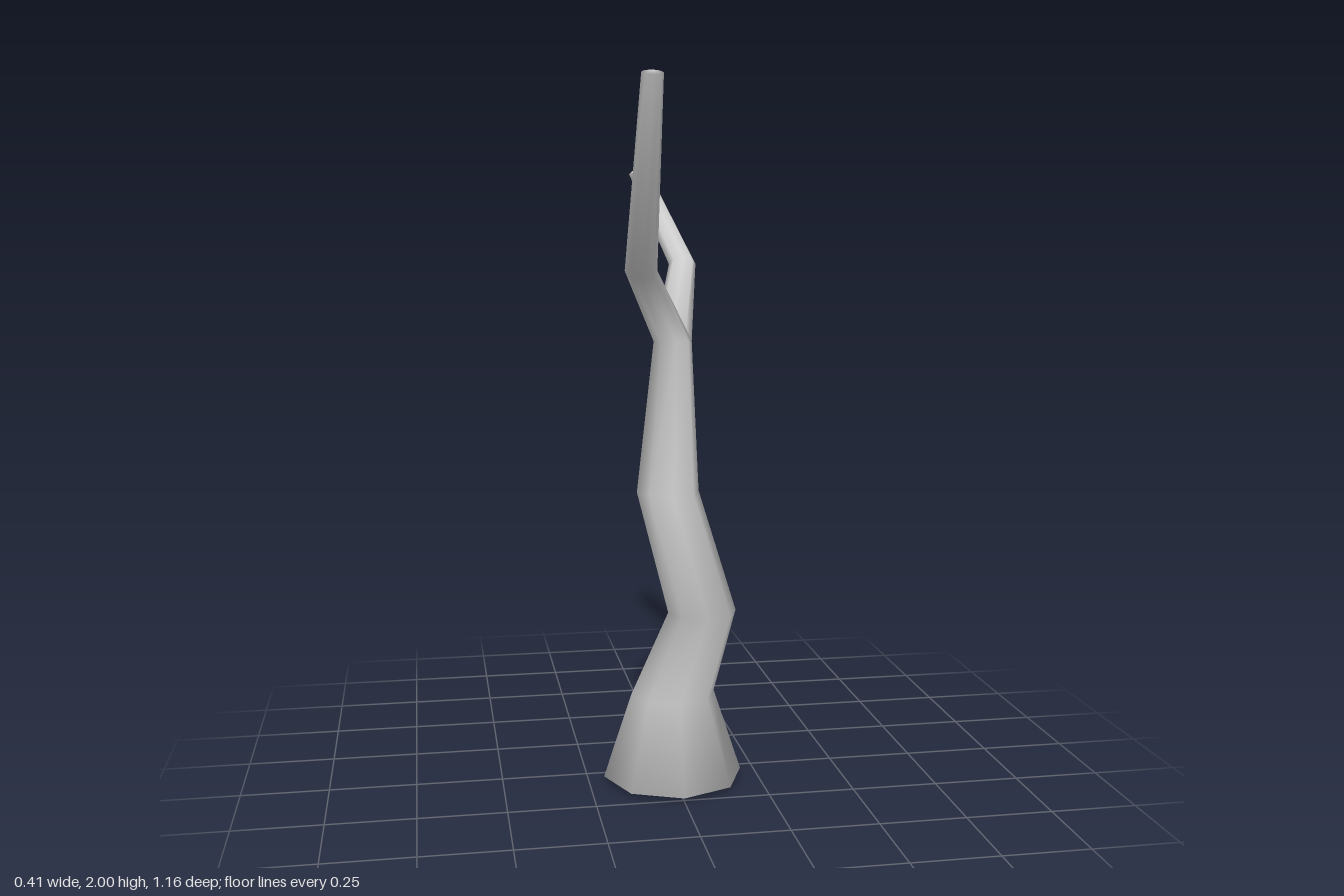
import * as THREE from 'three';
import { mergeVertices } from 'three/addons/utils/BufferGeometryUtils.js';

const SIDES = 8;
const V = (x, y, z) => new THREE.Vector3(x, y, z);

// Ring of points from a rule on the angle
function ringOf(rule) {
  return Array.from({ length: SIDES }, (_, i) => rule((i / SIDES) * Math.PI * 2));
}

// Elliptical ring: `wide` along x (signed by side), `deep` across it, facing `dir`
function ellipse(center, dir, wide, deep, side = 1) {
  const u = V(side, 0, 0);
  const v = dir.clone().cross(u).normalize();
  return ringOf(a => center.clone()
    .addScaledVector(u, wide * Math.cos(a))
    .addScaledVector(v, deep * Math.sin(a)));
}

// Skin the rings and close the ends that have an apex; returns a triangle soup
function skin(rings, startApex, endApex) {
  const out = [];
  const tri = (...pts) => pts.forEach(p => out.push(p.x, p.y, p.z));
  const last = rings[rings.length - 1];
  for (let i = 0; i < SIDES; i++) {
    const j = (i + 1) % SIDES;
    for (let r = 0; r + 1 < rings.length; r++) {
      const a = rings[r], b = rings[r + 1];
      tri(a[i], a[j], b[j]);
      tri(a[i], b[j], b[i]);
    }
    if (startApex) tri(startApex, rings[0][j], rings[0][i]);
    if (endApex) tri(endApex, last[i], last[j]);
  }
  return out;
}

// Fork where the trunk splits into two branches
const FORK = V(0, 1.295, 0.06), FORK_R = 0.055, FORK_RISE = 0.045;

// Branch: starts on half the trunk's top ring plus the ridge shared by both branches
function branch(side, knee, tip, kneeSize, tipSize) {
  const start = ringOf(a => {
    const s = Math.sin(a), x = side * FORK_R * Math.cos(a);
    return s >= -1e-6
      ? V(x, FORK.y + FORK_RISE * s, FORK.z)
      : V(x, FORK.y, FORK.z - side * FORK_R * s);
  });
  const d1 = knee.clone().sub(V(0, 1.31, 0.06)).normalize();
  const d2 = tip.clone().sub(knee).normalize();
  return skin([
    start,
    ellipse(knee, d1.clone().add(d2).normalize(), ...kneeSize, side),
    ellipse(tip, d2, ...tipSize, side),
  ], null, tip.clone().addScaledVector(d2, 0.006));
}

export function createModel() {
  const group = new THREE.Group();
  group.name = 'bareTree';

  // Trunk: x, y, z, radius of each level
  const trunk = skin([
    [0, 0.012, 0.06, 0.205],
    [0, 0.26, 0.062, 0.123],
    [0.067, 0.53, 0.165, 0.098],
    [-0.04, 0.89, 0.212, 0.087],
    [FORK.x, FORK.y, FORK.z, FORK_R],
  ].map(([x, y, z, r]) => ellipse(V(x, y, z), V(0, 1, 0), r, r)), V(0, 0, 0.06), null);

  const parts = {
    trunk,
    frontBranch: branch(1, V(-0.137, 1.505, 0.367), V(-0.137, 1.99, 0.563), [0.043, 0.034], [0.028, 0.02]),
    backBranch: branch(-1, V(0.1, 1.5, -0.345), V(0, 1.78, -0.565), [0.042, 0.029], [0.034, 0.023]),
  };

  // Weld all parts so the shading runs smoothly across the fork
  const soup = new THREE.BufferGeometry();
  soup.setAttribute('position', new THREE.Float32BufferAttribute(Object.values(parts).flat(), 3));
  const welded = mergeVertices(soup, 1e-4);
  welded.computeVertexNormals();

  // Each part is its own slice of the welded surface
  const material = new THREE.MeshStandardMaterial({ color: 0xcccccc });
  const index = Array.from(welded.index.array);
  let from = 0;
  for (const [name, points] of Object.entries(parts)) {
    const geometry = new THREE.BufferGeometry();
    geometry.setAttribute('position', welded.attributes.position.clone());
    geometry.setAttribute('normal', welded.attributes.normal.clone());
    geometry.setIndex(index.slice(from, from + points.length / 3));
    from += points.length / 3;
    const mesh = new THREE.Mesh(geometry, material);
    mesh.name = name;
    group.add(mesh);
  }
  return group;
}
